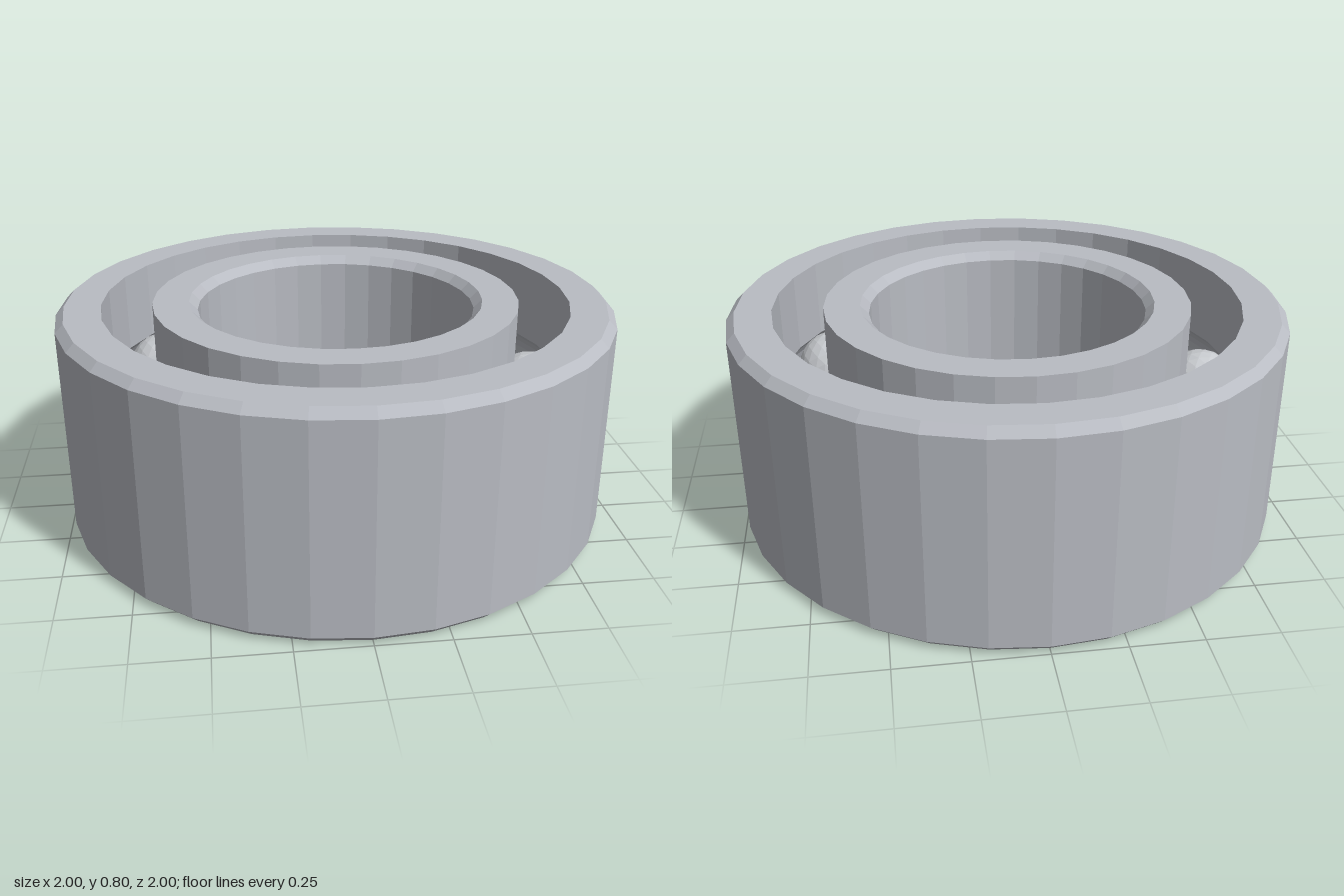
import * as THREE from 'three';

const MID = 0.4, PITCH = 0.75, BALL = 0.14, GROOVE = 0.142, SEGMENTS = 32;

// Cross-section of a raceway groove between two angles around the ball centre
function grooveArc(edgeRadius, side, steps = 8) {
  const half = Math.acos(Math.abs(edgeRadius - PITCH) / GROOVE);
  const points = [];
  for (let i = 0; i <= steps; i++) {
    const a = half - (2 * half * i) / steps;
    // outer race runs downwards, inner race runs upwards
    points.push([PITCH + side * GROOVE * Math.cos(a), MID + side * GROOVE * Math.sin(a)]);
  }
  return points;
}

// Closed counter-clockwise profile turned around y
function ring(name, profile, material) {
  const points = [...profile, profile[0]].map(([r, y]) => new THREE.Vector2(r, y));
  const mesh = new THREE.Mesh(new THREE.LatheGeometry(points, SEGMENTS), material);
  mesh.name = name;
  return mesh;
}

export function createModel() {
  const ringSteel = new THREE.MeshStandardMaterial({ color: 0xb9bcc3 });
  ringSteel.name = 'ringSteel';
  ringSteel.flatShading = true;
  const ballSteel = new THREE.MeshStandardMaterial({ color: 0xc8cbcf });
  ballSteel.name = 'ballSteel';
  ballSteel.flatShading = true;

  const model = new THREE.Group();
  model.name = 'ballBearing';

  // Outer ring: bevelled outside edges, groove on the inside wall
  model.add(ring('outerRing', [
    [0.97, 0], [1, 0.03], [1, 0.77], [0.97, 0.8], [0.84, 0.8],
    ...grooveArc(0.84, 1), [0.84, 0],
  ], ringSteel));

  // Inner ring: groove on the outside wall, bevelled bore edges
  model.add(ring('innerRing', [
    [0.66, 0], ...grooveArc(0.66, -1), [0.66, 0.8],
    [0.53, 0.8], [0.5, 0.77], [0.5, 0.03], [0.53, 0],
  ], ringSteel));

  // Twelve balls held between the grooves
  const balls = new THREE.Group();
  balls.name = 'balls';
  const ballGeometry = new THREE.IcosahedronGeometry(BALL, 3);
  for (let i = 0; i < 12; i++) {
    const a = (i / 12) * Math.PI * 2;
    const ball = new THREE.Mesh(ballGeometry, ballSteel);
    ball.name = 'ball';
    ball.position.set(PITCH * Math.cos(a), MID, PITCH * Math.sin(a));
    balls.add(ball);
  }
  model.add(balls);
  return model;
}
